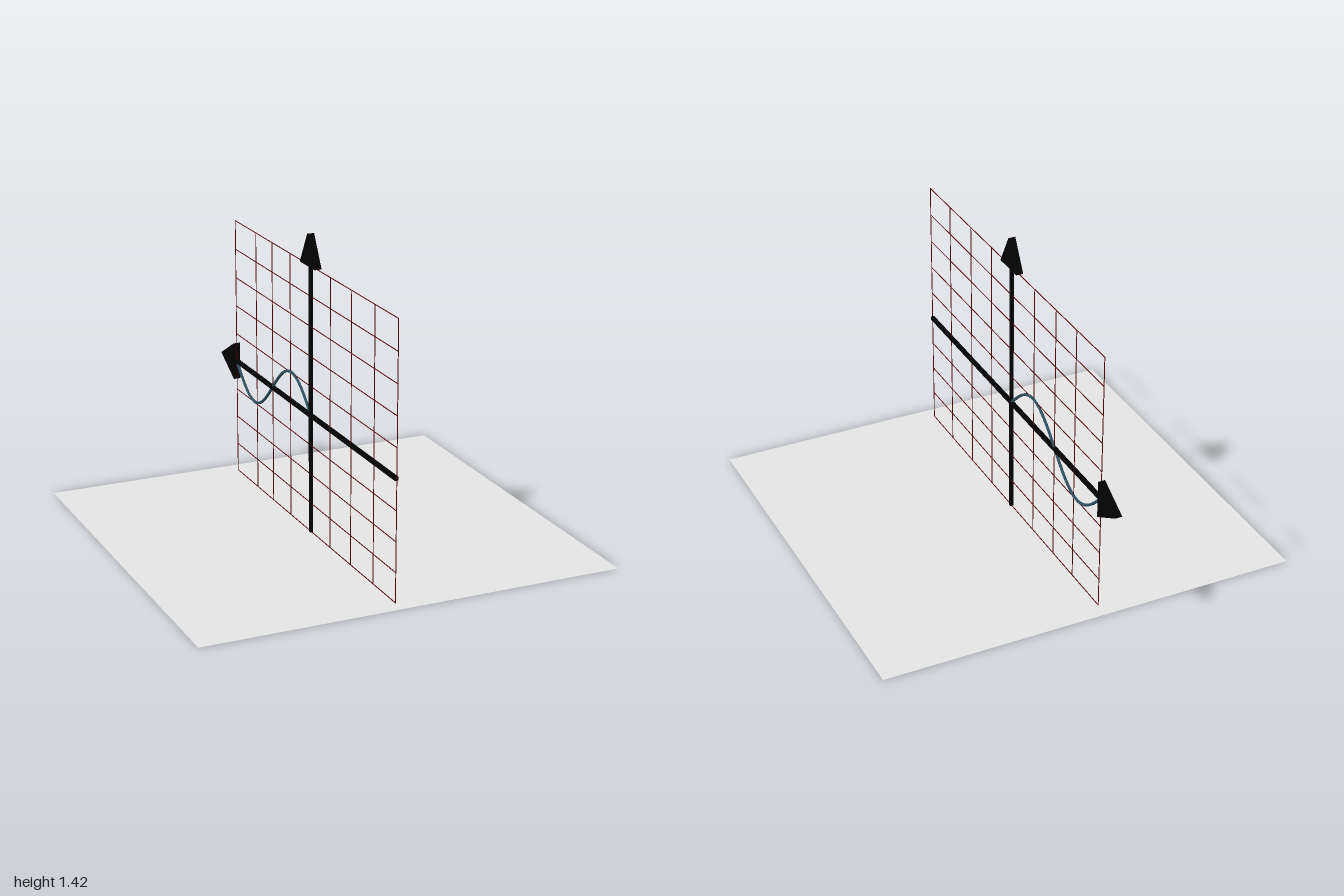
import * as THREE from 'three';

const PLANE_X = -0.068;           // the upright diagram lies in this plane
const Z0 = 0.932, Z1 = -0.838;    // near and far ends of the grid
const TOP = 1.275, MID = 0.569, ORIGIN = 0.046;

const mat = (name, color, side = THREE.FrontSide) => {
  const m = new THREE.MeshStandardMaterial({ color, side });
  m.name = name;
  return m;
};

export function createModel() {
  const model = new THREE.Group();
  model.name = 'waveDiagram';
  const black = mat('black', 0x020202);
  const maroon = mat('maroon', 0x560808);
  const teal = mat('darkTeal', 0x2f5261);
  const grey = mat('grey', 0xe4e4e4, THREE.DoubleSide);

  const add = (name, geometry, material, parent = model) => {
    const mesh = new THREE.Mesh(geometry, material);
    mesh.name = name;
    parent.add(mesh);
    return mesh;
  };
  // Square bars along y or z, all in the diagram plane
  const upright = (name, z, t, m, parent) =>
    add(name, new THREE.BoxGeometry(t, TOP, t), m, parent).position.set(PLANE_X, TOP / 2, z);
  const level = (name, y, t, m, parent) =>
    add(name, new THREE.BoxGeometry(t, t, Z0 - Z1), m, parent).position.set(PLANE_X, y, (Z0 + Z1) / 2);

  // Flat ground sheet
  const ground = new THREE.PlaneGeometry(2, 1.912).rotateX(-Math.PI / 2);
  add('ground', ground, grey).position.z = 0.044;

  // Thin grid
  const grid = new THREE.Group();
  grid.name = 'grid';
  model.add(grid);
  const t = 0.003;
  for (const z of [Z0, 0.709, 0.477, 0.257, -0.184, -0.392, -0.585, Z1]) upright('gridUpright', z, t, maroon, grid);
  for (let i = 0; i <= 9; i++) {
    const y = THREE.MathUtils.clamp(i * 0.1415, t / 2, TOP - t / 2);
    level('gridLevel', y, t, maroon, grid);
  }

  // Axes
  upright('verticalAxis', ORIGIN, 0.015, black);
  level('horizontalAxis', MID, 0.017, black);

  // Flat triangular arrowheads, drawn pointing along -z
  const arrow = (name, length, half, hole) => {
    const s = new THREE.Shape([[0, -half], [length, 0], [0, half]].map(p => new THREE.Vector2(...p)));
    if (hole) s.holes.push(new THREE.Path().absellipse(0.052, 0, 0.018, 0.012, 0, Math.PI * 2, true));
    const g = new THREE.ExtrudeGeometry(s, { depth: 0.034, bevelEnabled: false, curveSegments: 4 });
    return add(name, g.translate(0, 0, -0.017).rotateY(Math.PI / 2), black);
  };
  arrow('horizontalArrowhead', 0.162, 0.091, true).position.set(PLANE_X, MID, Z1);
  const up = arrow('verticalArrowhead', 0.147, 0.081, false);
  up.rotation.x = Math.PI / 2;
  up.position.set(PLANE_X, TOP, ORIGIN);

  // One full sine wave from the origin to the far edge
  const points = [];
  for (let i = 0; i <= 32; i++) {
    const k = i / 32;
    points.push(new THREE.Vector3(PLANE_X, MID + 0.141 * Math.sin(k * Math.PI * 2), ORIGIN + (Z1 - ORIGIN) * k));
  }
  add('sineWave', new THREE.TubeGeometry(new THREE.CatmullRomCurve3(points), 64, 0.007, 6), teal);

  return model;
}
